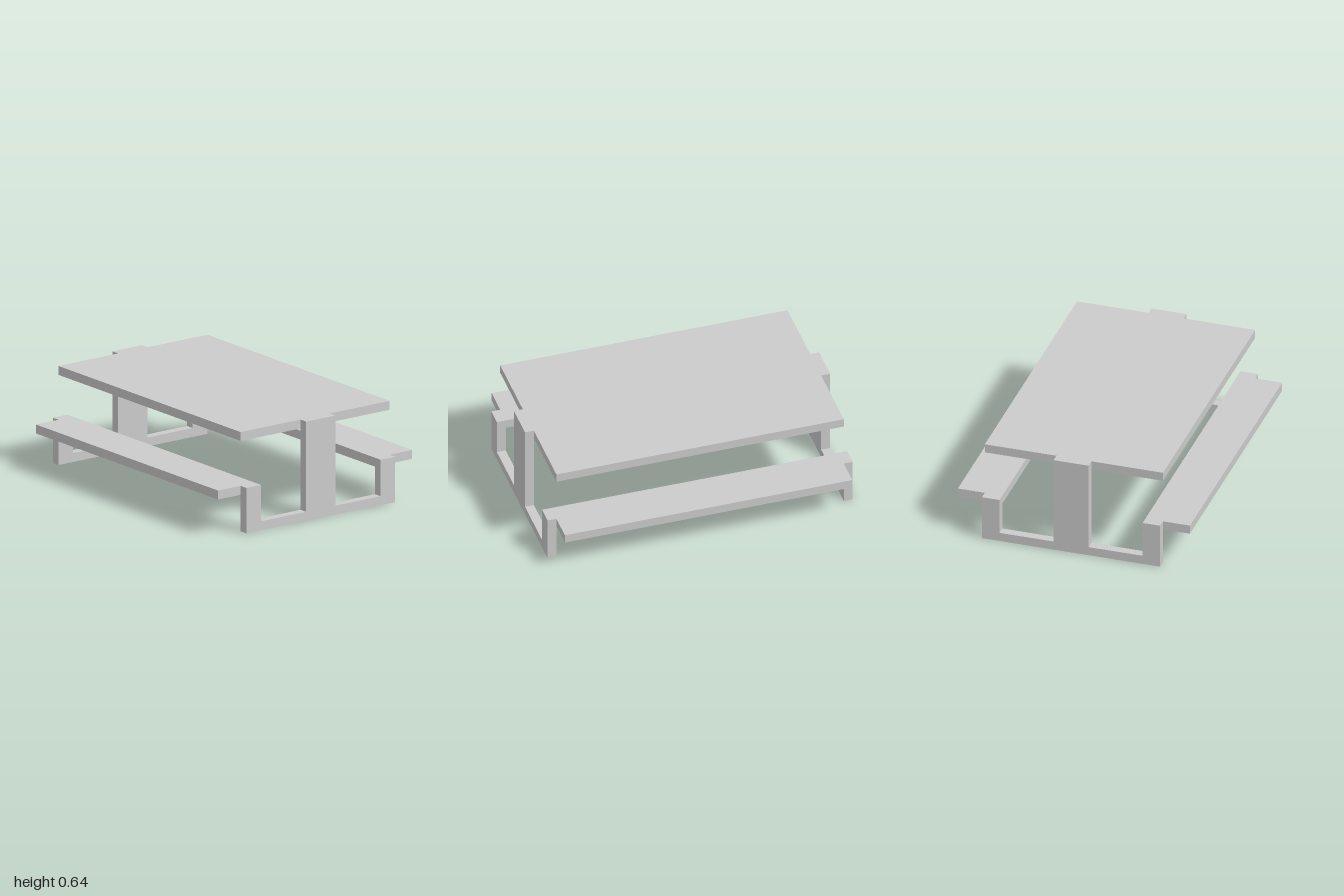
import * as THREE from 'three';

const material = new THREE.MeshStandardMaterial({ color: 0xcccccc, flatShading: true });

// Box given by its lower and upper limits on each axis
function slab(name, [x0, x1], [y0, y1], [z0, z1]) {
  const mesh = new THREE.Mesh(new THREE.BoxGeometry(x1 - x0, y1 - y0, z1 - z0), material);
  mesh.position.set((x0 + x1) / 2, (y0 + y1) / 2, (z0 + z1) / 2);
  mesh.name = name;
  return mesh;
}

export function createModel() {
  const group = new THREE.Group();
  group.name = 'picnicTable';

  const thick = 0.058;          // plank thickness
  const inner = 1 - thick;      // z where the planks meet the end frames
  const top = 0.645, seat = 0.295;
  const half = 0.585, postIn = 0.47, column = 0.115;

  // Tabletop
  group.add(slab('tabletop', [-half, half], [top - thick, top], [-inner, inner]));

  // Benches, overhanging the frames on the outside
  group.add(slab('leftBench', [postIn, 0.762], [seat - thick, seat], [-inner, inner]));
  group.add(slab('rightBench', [-0.762, -postIn], [seat - thick, seat], [-inner, inner]));

  // End frames: base rail, central column and two short bench posts in one outline
  const side = [[half, 0], [half, seat], [postIn, seat], [postIn, thick], [column, thick], [column, top]];
  const mirrored = side.map(([x, y]) => [-x, y]).reverse();
  const outline = new THREE.Shape([...side, ...mirrored].map(([x, y]) => new THREE.Vector2(x, y)));
  const frame = new THREE.ExtrudeGeometry(outline, { depth: thick, bevelEnabled: false });
  for (const [name, z] of [['frontFrame', inner], ['backFrame', -1]]) {
    const mesh = new THREE.Mesh(frame, material);
    mesh.position.z = z;
    mesh.name = name;
    group.add(mesh);
  }

  return group;
}
